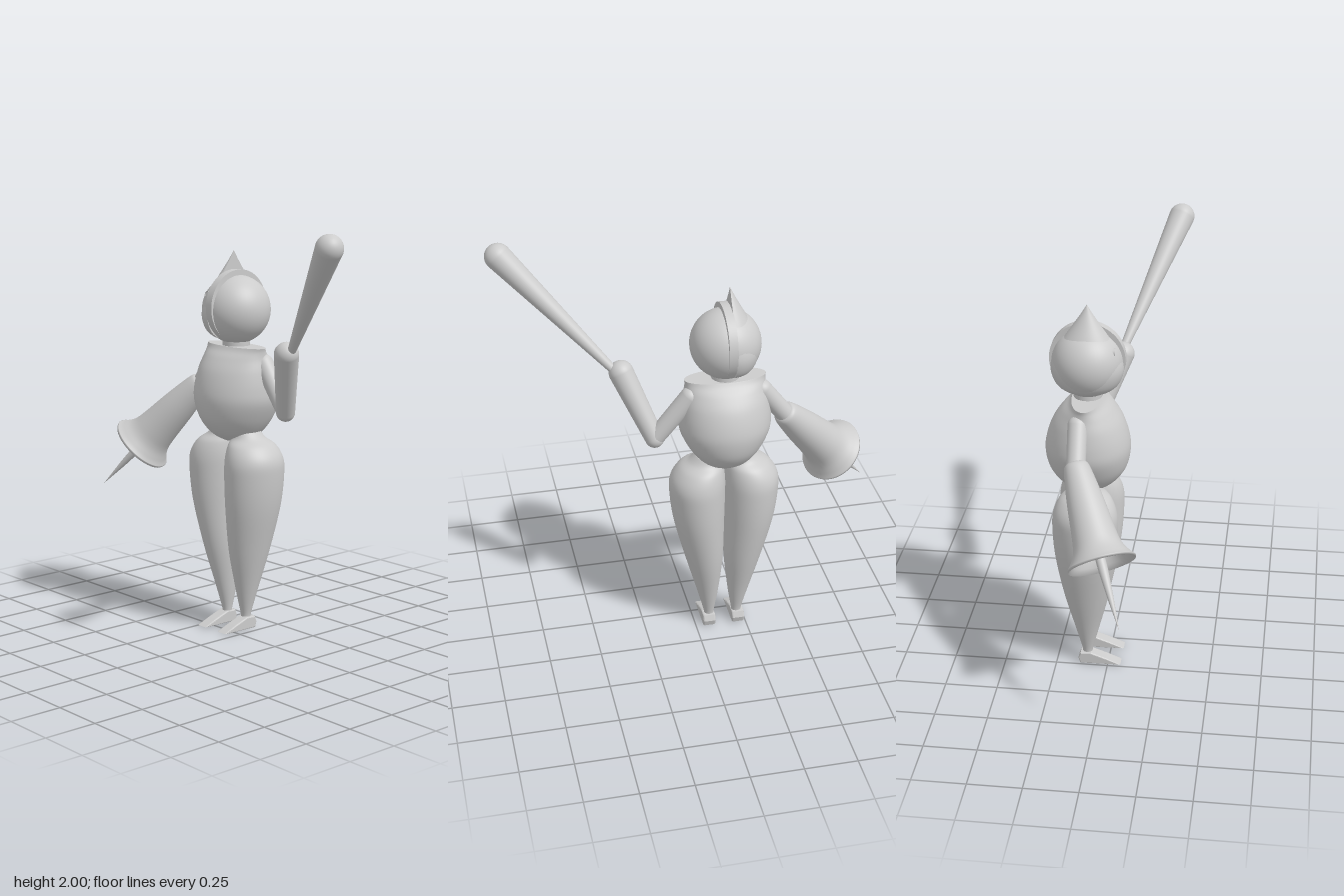
import * as THREE from 'three';

const grey = new THREE.MeshStandardMaterial({ color: 0xcccccc });
const greyDouble = new THREE.MeshStandardMaterial({ color: 0xcccccc, side: THREE.DoubleSide });
const MID_X = -0.14, MID_Z = -0.1;

function part(name, geometry, material = grey) {
  const mesh = new THREE.Mesh(geometry, material);
  mesh.name = name;
  return mesh;
}

// Smooth curve value through four neighbours
function spline(a, b, c, d, t) {
  return b + 0.5 * t * (c - a + t * (2 * a - 5 * b + 4 * c - d + t * (3 * (b - c) + d - a)));
}

// Stacks smooth elliptical sections [y, centreX, halfX, halfZ] from bottom to top
function loft(sections, sides = 48, steps = 6) {
  const rows = [];
  const last = sections.length - 1;
  const at = i => sections[Math.min(Math.max(i, 0), last)];
  for (let i = 0; i < last; i++) {
    for (let s = 0; s < steps; s++) {
      rows.push(at(i).map((v, k) => spline(at(i - 1)[k], v, at(i + 1)[k], at(i + 2)[k], s / steps)));
    }
  }
  rows.push(at(last));
  // Flat caps use their own rim so that the edge stays sharp
  const cap = r => [r[0], r[1], 0, 0];
  rows.unshift(cap(rows[0]), rows[0]);
  rows.push(at(last), cap(at(last)));
  const pos = [], index = [];
  rows.forEach(([y, cx, hx, hz], r) => {
    for (let j = 0; j < sides; j++) {
      const a = (j / sides) * Math.PI * 2;
      pos.push(cx + hx * Math.sin(a), y, MID_Z + hz * Math.cos(a));
      if (r === rows.length - 1) continue;
      const p = r * sides + j, q = r * sides + (j + 1) % sides;
      index.push(p, q, q + sides, p, q + sides, p + sides);
    }
  });
  const g = new THREE.BufferGeometry();
  g.setAttribute('position', new THREE.Float32BufferAttribute(pos, 3));
  g.setIndex(index);
  g.computeVertexNormals();
  return g;
}

const points = list => list.map(([x, y]) => new THREE.Vector2(x, y));

// Turned profile [radius, distance] laid along the line from a to b
function turned(name, a, b, profile, material = grey) {
  const mesh = part(name, new THREE.LatheGeometry(points(profile), 40), material);
  const dir = new THREE.Vector3(...b).sub(new THREE.Vector3(...a)).normalize();
  mesh.position.set(...a);
  mesh.quaternion.setFromUnitVectors(new THREE.Vector3(0, 1, 0), dir);
  return mesh;
}

// Tapered limb with round ends
function limb(name, a, b, ra, rb) {
  const length = new THREE.Vector3(...a).distanceTo(new THREE.Vector3(...b));
  const profile = [];
  for (let i = 0; i <= 10; i++) {
    const t = (i / 20) * Math.PI;
    profile.push([ra * Math.sin(t), -ra * Math.cos(t)]);
  }
  for (let i = 0; i <= 10; i++) {
    const t = (i / 20) * Math.PI;
    profile.push([rb * Math.cos(t), length + rb * Math.sin(t)]);
  }
  return turned(name, a, b, profile);
}

function createHead() {
  const head = new THREE.Group();
  head.name = 'head';

  const skull = part('skull', new THREE.SphereGeometry(0.165, 48, 32));
  skull.position.set(MID_X, 1.567, MID_Z);

  const rim = part('maskRim', new THREE.CylinderGeometry(0.175, 0.175, 0.04, 64));
  rim.rotation.z = Math.PI / 2;
  rim.position.set(-0.14, 1.583, MID_Z);

  // Half teardrop mask with a pointed top
  const outline = new THREE.SplineCurve(points([
    [0, 1.415], [0.06, 1.425], [0.112, 1.465], [0.134, 1.54], [0.119, 1.62],
    [0.084, 1.69], [0.045, 1.76], [0.018, 1.81], [0, 1.848],
  ])).getPoints(40);
  const mask = part('mask', new THREE.LatheGeometry(outline, 32, Math.PI, Math.PI), greyDouble);
  mask.scale.z = 1.25;
  mask.position.set(-0.158, 0, MID_Z);

  // Flat face closing the mask
  const half = outline.map(p => new THREE.Vector2(p.x * 1.25, p.y));
  const mirrored = half.slice(1, -1).reverse().map(p => new THREE.Vector2(-p.x, p.y));
  const back = part('maskBack', new THREE.ShapeGeometry(new THREE.Shape([...half, ...mirrored])), greyDouble);
  back.rotation.y = Math.PI / 2;
  back.position.set(-0.158, 0, MID_Z);

  // Round eye opening
  const eye = part('eye', new THREE.CylinderGeometry(0.02, 0.02, 0.05, 24, 1, true), greyDouble);
  eye.rotation.x = Math.PI / 2;
  eye.position.set(-0.197, 1.638, 0.008);

  const neck = part('neck', new THREE.CylinderGeometry(0.066, 0.066, 0.08, 32));
  neck.position.set(MID_X, 1.42, MID_Z);
  head.add(skull, rim, mask, back, eye, neck);
  return head;
}

function createLeg(side, name) {
  const leg = new THREE.Group();
  leg.name = name;
  const sections = [
    [0.05, 0.07, 0.024, 0.024], [0.08, 0.07, 0.027, 0.027], [0.2, 0.077, 0.052, 0.058],
    [0.4, 0.095, 0.09, 0.108], [0.62, 0.121, 0.12, 0.144], [0.78, 0.13, 0.132, 0.154],
    [0.86, 0.128, 0.13, 0.148], [0.92, 0.112, 0.108, 0.122], [0.955, 0.09, 0.08, 0.082],
    [0.985, 0.08, 0.06, 0.067],
  ].map(([y, x, hx, hz]) => [y, MID_X + side * x, hx, hz]);
  leg.add(part('thighAndShin', loft(sections)));

  // Wedge-shaped foot, pointed at the toe
  const wedge = new THREE.Shape(points([
    [0.055, 0.005], [-0.13, 0.005], [-0.137, 0.028], [-0.128, 0.052], [-0.083, 0.054], [-0.01, 0.028],
  ]));
  const geometry = new THREE.ExtrudeGeometry(wedge, {
    depth: 0.046, bevelThickness: 0.008, bevelSize: 0.006, bevelSegments: 3,
  });
  geometry.translate(0, 0, -0.023);
  geometry.rotateY(-Math.PI / 2);
  const foot = part('foot', geometry);
  foot.position.x = MID_X + side * 0.073;
  leg.add(foot);
  return leg;
}

function createRightArm() {
  const arm = new THREE.Group();
  arm.name = 'rightArm';
  const elbow = [-0.42, 1.18, -0.12], tip = [-0.9, 0.62, 0.135];
  arm.add(limb('upperArm', [-0.31, 1.32, -0.125], [-0.43, 1.165, -0.118], 0.046, 0.044));
  // Trumpet sleeve with a flared, hollow mouth
  const flare = new THREE.SplineCurve(points([
    [0.05, 0], [0.062, 0.03], [0.083, 0.17], [0.1, 0.33], [0.113, 0.4], [0.138, 0.445], [0.158, 0.468],
  ])).getPoints(36).map(p => [p.x, p.y]);
  const sleeve = [[0, -0.01], [0.04, -0.008], ...flare, [0.155, 0.478], [0.13, 0.455], [0.105, 0.41], [0.09, 0.36], [0, 0.35]];
  arm.add(turned('sleeve', elbow, tip, sleeve, greyDouble));
  arm.add(turned('spike', elbow, tip, [[0.024, 0.34], [0.022, 0.5], [0.014, 0.63], [0, 0.782]]));
  return arm;
}

function createLeftArm() {
  const arm = new THREE.Group();
  arm.name = 'leftArm';
  const elbow = [0.195, 1.11, -0.112], wrist = [0.325, 1.41, 0.005];
  arm.add(limb('upperArm', [0.03, 1.32, -0.125], elbow, 0.046, 0.042));
  arm.add(limb('forearm', elbow, wrist, 0.045, 0.058));
  // Club that swells toward a round end
  arm.add(limb('club', [0.345, 1.41, 0], [0.834, 1.938, 0.238], 0.018, 0.062));
  return arm;
}

export function createModel() {
  const model = new THREE.Group();
  model.name = 'figure';

  // Barrel torso, flattened into a broad collar
  const torso = [
    [0.935, 0.06, 0.06], [0.955, 0.1, 0.1], [0.99, 0.137, 0.142], [1.05, 0.178, 0.181],
    [1.13, 0.213, 0.198], [1.2, 0.217, 0.191], [1.28, 0.207, 0.163], [1.34, 0.193, 0.122],
    [1.375, 0.19, 0.087], [1.395, 0.193, 0.072],
  ].map(([y, hx, hz]) => [y, MID_X, hx, hz]);

  model.add(
    part('torso', loft(torso)),
    createHead(),
    createLeg(-1, 'rightLeg'),
    createLeg(1, 'leftLeg'),
    createRightArm(),
    createLeftArm(),
  );
  return model;
}
